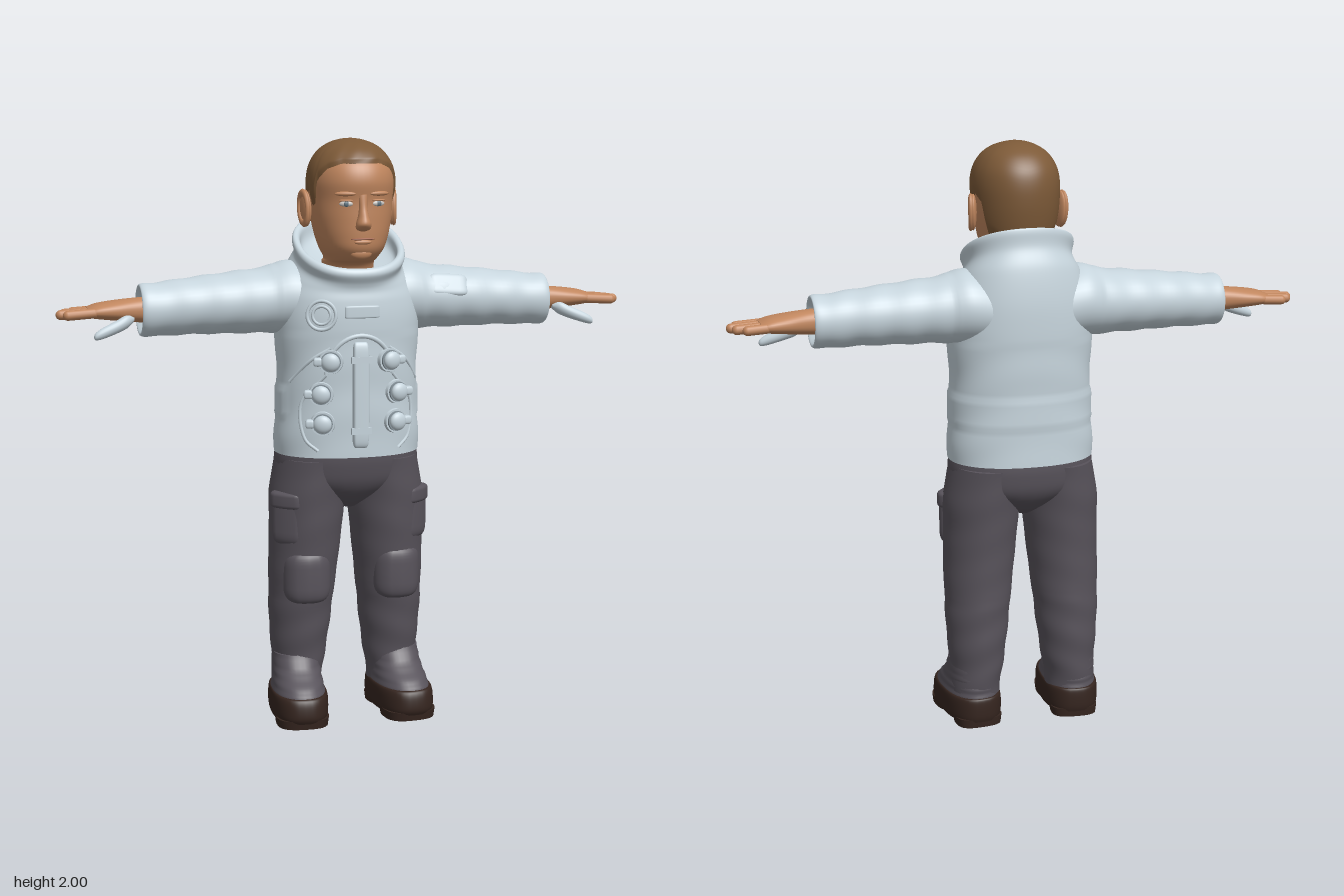
import * as THREE from 'three';

const mat = (name, color) => Object.assign(new THREE.MeshStandardMaterial({ color }), { name });
const M = {
  suit: mat('pale suit', 0xc6d4dc), trousers: mat('dark grey trousers', 0x58535b),
  boot: mat('dark brown rubber', 0x35251f), skin: mat('skin', 0xc0865e),
  hair: mat('brown hair', 0x7d5a38), lip: mat('lip', 0xa0624a),
  white: mat('eye white', 0xc9c5c0), iris: mat('blue iris', 0x5f7480), seam: mat('seam grey', 0x8a979f),
};

// Catmull-Rom between cross-sections, s = 0 .. count - 1
function sample(secs, s) {
  const n = secs.length - 1, i = Math.min(Math.floor(s), n - 1), f = s - i;
  const g = (j) => secs[Math.max(0, Math.min(n, j))];
  return [0, 1, 2, 3, 4, 5].map((k) => {
    const [a, b, c, d] = [g(i - 1), g(i), g(i + 1), g(i + 2)].map((r) => r[k] || 0);
    return b + 0.5 * f * (c - a + f * (2 * a - 5 * b + 4 * c - d + f * (3 * (b - c) + d - a)));
  });
}
// section index at a given height (ascending sections)
function indexAt(secs, y) {
  let lo = 0, hi = secs.length - 1;
  for (let i = 0; i < 30; i++) {
    const m = (lo + hi) / 2;
    if (sample(secs, m)[0] < y) lo = m; else hi = m;
  }
  return lo;
}
const spow = (v, e) => Math.sign(v) * Math.abs(v) ** e;
// section: [height, centre x, centre z, radius x, radius z, tilt], or along x: [x, cy, cz, ry, rz]
function point(secs, s, th, { p = 2, axis = 'y', w = () => 0 } = {}) {
  const [t, a, b, ra, rb, tilt] = sample(secs, s);
  const k = 1 + w(t, th), C = spow(Math.cos(th), 2 / p) * k, S = spow(Math.sin(th), 2 / p) * k;
  if (axis === 'x') return [t, a + ra * S, b + rb * C];
  return [a + ra * C, t - tilt * rb * S, b + rb * S];
}
// closed tube of rings, with flat end caps
function rings(rows, cols, fn) {
  const pos = [], idx = [];
  for (let i = 0; i <= rows; i++)
    for (let j = 0; j < cols; j++) pos.push(...fn(i / rows, (j / cols) * Math.PI * 2));
  for (let i = 0; i < rows; i++)
    for (let j = 0; j < cols; j++) {
      const a = i * cols + j, b = i * cols + (j + 1) % cols;
      idx.push(a, a + cols, b, b, a + cols, b + cols);
    }
  for (const end of [0, rows]) {
    const base = pos.length / 3, c = [0, 0, 0];
    for (let j = 0; j < cols; j++)
      for (let k = 0; k < 3; k++) {
        const v = pos[(end * cols + j) * 3 + k];
        pos.push(v); c[k] += v / cols;
      }
    pos.push(...c);
    for (let j = 0; j < cols; j++) {
      const a = base + j, b = base + (j + 1) % cols;
      idx.push(...(end ? [a, base + cols, b] : [a, b, base + cols]));
    }
  }
  const g = new THREE.BufferGeometry();
  g.setAttribute('position', new THREE.Float32BufferAttribute(pos, 3));
  g.setIndex(idx);
  g.computeVertexNormals();
  return g;
}
const loft = (secs, o = {}) => rings((secs.length - 1) * (o.sub || 5), o.cols || 40,
  (u, th) => point(secs, u * (secs.length - 1), th, o));

// cushion: squared-off ellipsoid, bent back at its sides
function pad(w, h, d, bend = 0, e = 0.4) {
  const g = new THREE.SphereGeometry(1, 28, 20), P = g.attributes.position;
  for (let i = 0; i < P.count; i++) {
    const x = spow(P.getX(i), e) * w / 2;
    P.setXYZ(i, x, spow(P.getY(i), e) * h / 2, spow(P.getZ(i), 0.8) * d / 2 - bend * x * x);
  }
  g.computeVertexNormals();
  return g;
}
function mirror(g) {
  const m = g.clone().scale(-1, 1, 1), ix = m.index.array;
  for (let i = 0; i < ix.length; i += 3) [ix[i], ix[i + 1]] = [ix[i + 1], ix[i]];
  return m;
}

const fb = (y, rx, front, back) => [y, 0, (front + back) / 2, rx, (front - back) / 2];
const HEAD = [fb(1.5, 0.09, 0.06, -0.12), fb(1.58, 0.088, 0.085, -0.115), fb(1.6, 0.085, 0.145, -0.112),
  fb(1.635, 0.105, 0.178, -0.115), fb(1.68, 0.121, 0.185, -0.122), fb(1.74, 0.133, 0.186, -0.134),
  fb(1.8, 0.138, 0.186, -0.142), fb(1.86, 0.14, 0.194, -0.142), fb(1.91, 0.13, 0.18, -0.13),
  fb(1.95, 0.106, 0.145, -0.1), fb(1.975, 0.072, 0.105, -0.06), fb(1.987, 0.035, 0.06, -0.02), fb(1.99, 0.004, 0.03, 0.02)];
const TORSO = [[0.935, 0, -0.035, 0.25, 0.183], [1, 0, -0.033, 0.25, 0.184], [1.1, 0, -0.03, 0.243, 0.183],
  [1.2, 0, -0.03, 0.24, 0.185], [1.3, 0, -0.03, 0.244, 0.188], [1.4, 0, -0.03, 0.247, 0.19],
  [1.48, 0, -0.03, 0.235, 0.186, 0.1], [1.55, 0, -0.025, 0.208, 0.175, 0.3], [1.595, 0, -0.01, 0.182, 0.165, 0.45],
  [1.635, 0, 0, 0.19, 0.17, 0.5], [1.652, 0, 0, 0.182, 0.163, 0.5], [1.645, 0, 0, 0.165, 0.147, 0.5],
  [1.6, 0, 0, 0.152, 0.135, 0.45], [1.57, 0, 0, 0.08, 0.08, 0.3]];
const TP = 2.25;
// depth of the front of a loft at (x, y)
function frontZ(secs, x, y, p = 2) {
  const [, a, b, ra, rb] = sample(secs, indexAt(secs.slice(0, 10), y));
  return b + rb * Math.max(0, 1 - Math.abs((x - a) / ra) ** p) ** (1 / p);
}

export function createModel() {
  const model = new THREE.Group();
  const add = (name, geo, m) => {
    const mesh = new THREE.Mesh(geo, m);
    mesh.name = name;
    model.add(mesh);
  };
  const pair = (name, geo, m) => {
    add(name + 'Left', geo, m);
    add(name + 'Right', mirror(geo), m);
  };
  const ball = (rx, ry, rz, x, y, z) => new THREE.SphereGeometry(1, 20, 14).scale(rx, ry, rz).translate(x, y, z);

  // jacket with collar; a waistband is raised around the back
  add('jacket', loft(TORSO, { p: TP, cols: 64, sub: 7, w: (y, th) => {
    const band = y > 1.06 && y < 1.17 && Math.sin(th) < 0.35 ? 0.02 : 0;
    return band + (y < 1.35 ? 0.006 * Math.sin(y * 38 + 2 * Math.cos(2 * th)) : 0);
  } }), M.suit);
  pair('sleeve', loft([[0.1, 1.45, -0.05, 0.12, 0.14], [0.2, 1.466, -0.055, 0.124, 0.14], [0.28, 1.458, -0.05, 0.112, 0.125],
    [0.4, 1.452, -0.045, 0.104, 0.115], [0.55, 1.445, -0.04, 0.095, 0.1], [0.65, 1.438, -0.035, 0.09, 0.09],
    [0.7, 1.437, -0.033, 0.088, 0.088], [0.712, 1.437, -0.033, 0.078, 0.078], [0.69, 1.437, -0.033, 0.06, 0.06]],
  { axis: 'x', sub: 8, w: (x, th) => (x > 0.25 ? 0.018 * Math.sin(x * 55 + 2.5 * Math.cos(th)) : 0) }), M.suit);
  add('sleevePocket', pad(0.14, 0.08, 0.03).rotateX(-0.5).rotateZ(-0.06).translate(0.34, 1.5, 0.046), M.suit);

  // chest fittings
  const tube = (pts, r) => new THREE.TubeGeometry(new THREE.CatmullRomCurve3(
    pts.map(([x, y]) => new THREE.Vector3(x, y, frontZ(TORSO, x, y, TP)))), 40, r, 8);
  const arch = [];
  for (let a = 0; a <= 12; a++) arch.push([-0.115 * Math.cos(a * Math.PI / 12), 1.22 + 0.13 * Math.sin(a * Math.PI / 12)]);
  add('chestArch', tube(arch, 0.008), M.suit);
  pair('sideSeam', tube([[0.1, 1.31], [0.16, 1.27], [0.22, 1.19]], 0.006), M.suit);
  pair('panelSeam', tube([[0.115, 1.22], [0.19, 1.12], [0.18, 1], [0.14, 0.96]], 0.006), M.suit);
  add('zipFlap', pad(0.056, 0.36, 0.035, 0, 0.25).translate(0, 1.15, 0.158), M.suit);
  for (const y of [1.27, 1.03]) add('zipStrap', new THREE.BoxGeometry(0.07, 0.022, 0.012).translate(0, y, 0.17), M.suit);
  for (const [x, y] of [[0.1, 1.265], [0.13, 1.155], [0.125, 1.055]]) {
    const z = frontZ(TORSO, x, y, TP);
    const place = (g) => g.rotateX(Math.PI / 2).rotateY(0.3).translate(x, y, z);
    pair('hoseFlange', place(new THREE.CylinderGeometry(0.04, 0.043, 0.022, 28)), M.suit);
    pair('hoseRing', place(new THREE.CylinderGeometry(0.034, 0.034, 0.036, 28)), M.seam);
    pair('hoseKnob', place(new THREE.SphereGeometry(0.031, 24, 14).scale(1, 0.55, 1).translate(0, 0.023, 0)), M.suit);
    pair('hoseLug', place(pad(0.03, 0.03, 0.03).translate(0.043, 0.008, 0)), M.suit);
  }
  add('namePlate', pad(0.12, 0.042, 0.014, 0.5, 0.2).translate(0.005, 1.43, frontZ(TORSO, 0, 1.43, TP)), M.suit);
  const badgeZ = frontZ(TORSO, -0.13, 1.42, TP);
  for (const [r, t] of [[0.048, 0.006], [0.03, 0.005]])
    add('roundBadge', new THREE.TorusGeometry(r, t, 8, 32).rotateX(-0.1).rotateY(-0.38).translate(-0.13, 1.42, badgeZ), M.suit);

  // trousers
  add('hips', loft([[0.74, 0, -0.04, 0.03, 0.06], [0.79, 0, -0.04, 0.14, 0.13], [0.84, 0, -0.04, 0.235, 0.165],
    [0.9, 0, -0.038, 0.25, 0.178], [0.942, 0, -0.036, 0.247, 0.18]], { p: 2.2 }), M.trousers);
  pair('leg', loft([[0.1, 0.172, -0.065, 0.085, 0.095], [0.16, 0.17, -0.065, 0.088, 0.1], [0.22, 0.165, -0.065, 0.094, 0.105],
    [0.32, 0.163, -0.06, 0.105, 0.116], [0.45, 0.157, -0.052, 0.114, 0.126], [0.55, 0.152, -0.045, 0.12, 0.134],
    [0.68, 0.144, -0.04, 0.126, 0.145], [0.8, 0.138, -0.04, 0.13, 0.155], [0.92, 0.125, -0.04, 0.12, 0.165]],
  { sub: 8, w: (y, th) => 0.014 * Math.sin(y * 48 + 2 * Math.cos(th)) * (y < 0.45 ? 1 : 0.35) }), M.trousers);
  pair('kneePad', pad(0.165, 0.18, 0.07, 5, 0.5).rotateY(0.1).translate(0.163, 0.51, 0.072), M.trousers);
  const onHip = (g) => g.rotateY(0.75).translate(0.226, 0, 0.045);
  pair('cargoPocket', onHip(pad(0.13, 0.17, 0.05, 3).translate(0, 0.71, 0)), M.trousers);
  pair('pocketFlap', onHip(pad(0.142, 0.06, 0.066, 3).translate(0, 0.78, 0)), M.trousers);

  // boots
  const toeOut = (g) => g.rotateY(0.08);
  pair('bootUpper', toeOut(loft([fb(0.07, 0.093, 0.165, -0.165), fb(0.11, 0.09, 0.155, -0.165), fb(0.14, 0.085, 0.12, -0.162),
    fb(0.175, 0.083, 0.07, -0.16), fb(0.225, 0.08, 0.035, -0.155)],
  { p: 2.3, w: (y) => 0.012 * Math.sin(y * 200) })).translate(0.183, 0, 0), M.trousers);
  pair('bootSole', toeOut(loft([fb(0.02, 0.094, 0.172, -0.172), fb(0.04, 0.098, 0.18, -0.176), fb(0.08, 0.098, 0.176, -0.176),
    fb(0.102, 0.094, 0.166, -0.172), fb(0.104, 0.085, 0.15, -0.16)], { p: 2.6 })).translate(0.183, 0, 0), M.boot);
  pair('foreTread', toeOut(loft([fb(0, 0.088, 0.168, 0), fb(0.03, 0.092, 0.172, -0.005)], { p: 2.8 })).translate(0.183, 0, 0), M.boot);
  pair('heelTread', toeOut(loft([fb(0, 0.078, -0.045, -0.168), fb(0.03, 0.082, -0.04, -0.17)], { p: 3 })).translate(0.183, 0, 0), M.boot);

  // hands
  pair('palm', loft([[0.67, 1.437, -0.035, 0.045, 0.045], [0.73, 1.438, -0.037, 0.04, 0.05], [0.79, 1.438, -0.04, 0.034, 0.06],
    [0.85, 1.437, -0.043, 0.026, 0.064], [0.885, 1.434, -0.043, 0.017, 0.058]], { axis: 'x', p: 2.3 }), M.skin);
  [[-0.09, 0.945], [-0.06, 0.975], [-0.028, 0.99], [0.004, 0.97]].forEach(([z, tip]) => {
    const g = new THREE.CapsuleGeometry(0.0165, tip - 0.85 - 0.033, 6, 14).rotateZ(Math.PI / 2);
    pair('finger', g.rotateZ(-0.06).translate((tip + 0.85) / 2, 1.432, z), M.skin);
  });
  pair('thumb', loft([[0.735, 1.412, 0, 0.008, 0.01], [0.76, 1.405, 0.01, 0.022, 0.022], [0.8, 1.388, 0.025, 0.021, 0.02],
    [0.845, 1.371, 0.036, 0.018, 0.016], [0.868, 1.362, 0.04, 0.012, 0.011], [0.874, 1.36, 0.04, 0.003, 0.003]],
  { axis: 'x', cols: 18 }), M.suit);

  // head and face
  add('head', loft(HEAD, { p: 2.15, sub: 6, cols: 56 }), M.skin);
  add('nose', loft([[1.7, 0, 0.18, 0.01, 0.01], [1.708, 0, 0.186, 0.024, 0.02], [1.725, 0, 0.19, 0.025, 0.03],
    [1.75, 0, 0.187, 0.018, 0.024], [1.78, 0, 0.184, 0.014, 0.015], [1.82, 0, 0.183, 0.015, 0.008]], { cols: 20 }), M.skin);
  const faceZ = (x, y) => frontZ(HEAD, x, y, 2.15);
  pair('brow', ball(0.036, 0.008, 0.009, 0, 0, 0).rotateY(0.28).translate(0.058, 1.823, faceZ(0.058, 1.82)), M.skin);
  pair('eye', ball(0.023, 0.0095, 0.007, 0, 0, 0).rotateY(0.28).translate(0.055, 1.79, faceZ(0.055, 1.79)), M.white);
  pair('iris', ball(0.009, 0.009, 0.004, 0.055, 1.79, faceZ(0.055, 1.79) + 0.005), M.iris);
  pair('eyelid', ball(0.026, 0.004, 0.009, 0, 0, 0).rotateY(0.28).translate(0.055, 1.801, faceZ(0.055, 1.8)), M.skin);
  add('mouth', ball(0.042, 0.004, 0.007, 0, 1.674, faceZ(0, 1.674) - 0.002), M.lip);
  add('lowerLip', ball(0.03, 0.008, 0.007, 0, 1.664, faceZ(0, 1.664)), M.skin);
  add('chin', ball(0.038, 0.022, 0.018, 0, 1.625, 0.158), M.skin);
  const ear = (g) => g.rotateX(-0.12).rotateY(-0.25).translate(0.15, 1.768, 0.003);
  pair('ear', ear(ball(0.012, 0.062, 0.036, 0, 0, 0)), M.skin);
  pair('earRim', ear(new THREE.TorusGeometry(0.03, 0.008, 8, 28).rotateY(Math.PI / 2).scale(1, 1.7, 1).translate(0.008, 0, 0)), M.skin);

  // hair: shell over the head above a hairline given by angle from the front
  const line = [[0, 1.918], [0.5, 1.918], [0.9, 1.9], [1.2, 1.86], [1.3, 1.78], [1.45, 1.77], [1.6, 1.825],
    [1.9, 1.8], [2.1, 1.68], [3.15, 1.62]];
  const topS = HEAD.length - 1;
  add('hair', rings(36, 120, (u, th) => {
    const phi = Math.acos(Math.max(-1, Math.min(1, Math.sin(th))));
    const i = line.findIndex(([a]) => a > phi), [a, ya] = line[i - 1], [b, yb] = line[i];
    const low = ya + (yb - ya) * (phi - a) / (b - a);
    const s0 = indexAt(HEAD, low), rise = Math.min(1, u * 9), front = Math.max(0, 1 - phi / 1.3);
    const lock = 0.014 * front * Math.sin(th * 11 + u * 7) + 0.05 * front * Math.sin(Math.PI * Math.min(1, u * 1.4));
    const q = point(HEAD, s0 + (topS - s0) * u, th, { p: 2.15, w: () => -0.01 + rise * (0.06 + lock) });
    return [q[0], q[1] + 0.01 * u, q[2]];
  }), M.hair);

  return model;
}
